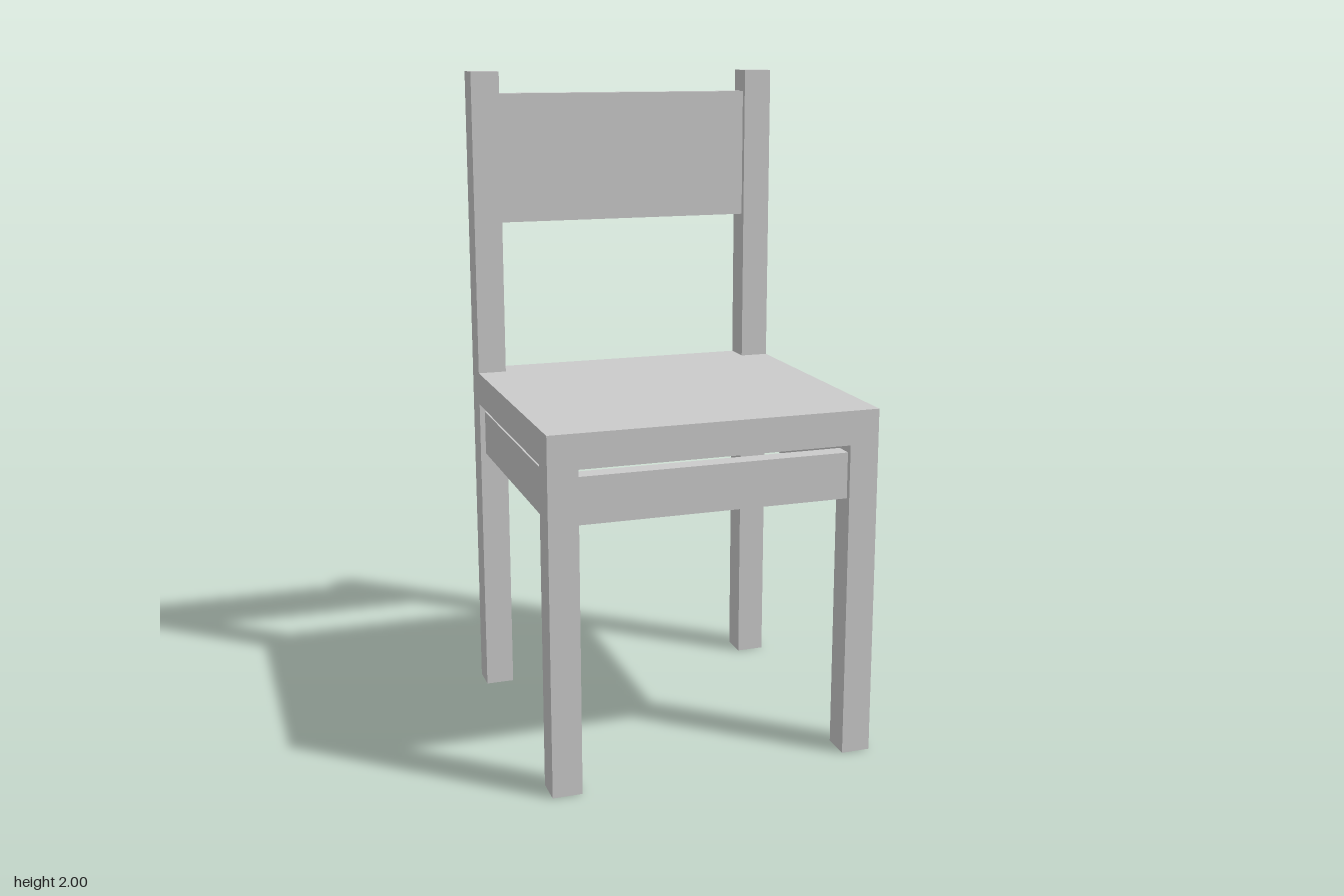
import * as THREE from 'three';

export function createModel() {
  const chair = new THREE.Group();
  chair.name = 'chair';
  const material = new THREE.MeshStandardMaterial({ color: 0xcccccc, flatShading: true });

  const HX = 0.494, HZ = 0.471;      // half width and half depth
  const POST = 0.088;                // square section of legs and posts
  const SEAT_Y = 0.958, SEAT_TOP = 1.06;
  const BOARD = 0.055;               // thickness of rails and backrest
  const px = HX - POST / 2, pz = HZ - POST / 2;

  function add(name, geometry, x, y, z) {
    const mesh = new THREE.Mesh(geometry, material);
    mesh.name = name;
    mesh.position.set(x, y, z);
    chair.add(mesh);
    return mesh;
  }

  // Box standing on height y0 and reaching y1
  function block(name, w, d, y0, y1, x, z) {
    return add(name, new THREE.BoxGeometry(w, y1 - y0, d), x, (y0 + y1) / 2, z);
  }

  // Seat slab, notched at the rear corners for the back posts
  const ix = HX - POST, iz = HZ - POST;
  const outline = new THREE.Shape([
    [-HX, -HZ], [HX, -HZ], [HX, iz], [ix, iz],
    [ix, HZ], [-ix, HZ], [-ix, iz], [-HX, iz],
  ].map(([x, y]) => new THREE.Vector2(x, y)));
  const slab = new THREE.ExtrudeGeometry(outline, { depth: SEAT_TOP - SEAT_Y, bevelEnabled: false });
  slab.rotateX(-Math.PI / 2);
  add('seat', slab, 0, SEAT_Y, 0);

  // Legs, with the rear pair running up as back posts, and side rails
  for (const [side, s] of [['left', 1], ['right', -1]]) {
    block(`${side}FrontLeg`, POST, POST, 0, SEAT_Y, s * px, pz);
    block(`${side}BackPost`, POST, POST, 0, 2, s * px, -pz);
    block(`${side}Rail`, BOARD, 2 * iz, 0.795, 0.933, s * px, 0);
  }

  // Front and back rails
  block('frontRail', 2 * ix, BOARD, 0.795, 0.933, 0, pz);
  block('backRail', 2 * ix, BOARD, 0.795, 0.933, 0, -pz);

  // Backrest board between the posts
  block('backrest', 2 * ix, BOARD, 1.535, 1.933, 0, -pz);

  return chair;
}
